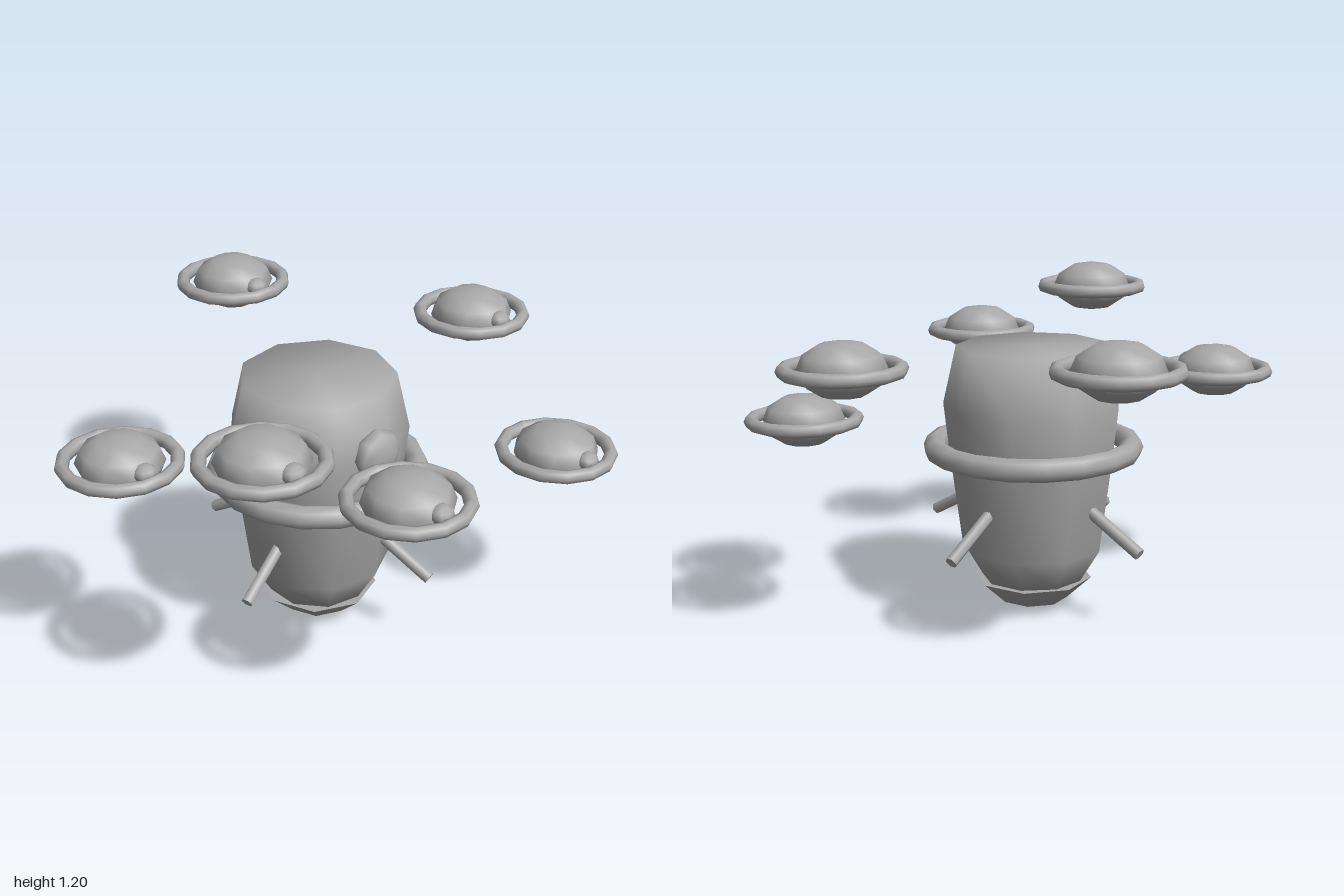
import * as THREE from 'three';

export function createModel() {
  const model = new THREE.Group();
  const grey = new THREE.MeshStandardMaterial({ color: 0xa8a8a8 });
  grey.name = 'plain grey';

  const add = (parent, name, geometry, x = 0, y = 0, z = 0) => {
    const mesh = new THREE.Mesh(geometry, grey);
    mesh.name = name;
    mesh.position.set(x, y, z);
    parent.add(mesh);
    return mesh;
  };
  const lathe = (points, sides) => new THREE.LatheGeometry(
    points.map(([r, y]) => new THREE.Vector2(r, y)), sides, Math.PI / 2);
  const ellipsoid = (rx, ry, rz, w, h) => new THREE.SphereGeometry(1, w, h).scale(rx, ry, rz);
  const hoop = (outer, tube, sides) =>
    new THREE.TorusGeometry(outer - tube, tube, 8, sides).rotateX(Math.PI / 2);

  // Main craft: nine-sided hull, belt ring, base cup and window
  const craft = new THREE.Group();
  craft.name = 'mainCraft';
  craft.position.set(-0.025, 0, 0.003);
  model.add(craft);
  add(craft, 'hull', lathe(
    [[0, 0.1], [0.19, 0.11], [0.268, 0.24], [0.315, 0.6], [0.335, 0.78], [0.285, 1], [0, 1]], 9));
  add(craft, 'beltRing', hoop(0.41, 0.043, 18), 0, 0.622, 0);
  add(craft, 'baseCup', lathe(
    [[0, 0.003], [0.13, 0.03], [0.222, 0.115]], 8));
  add(craft, 'baseCupLid', new THREE.CircleGeometry(0.222, 8).rotateX(-Math.PI / 2), 0, 0.115, 0);
  add(craft, 'frontWindow',
    ellipsoid(0.1, 0.055, 0.1, 8, 6).rotateX(Math.PI / 2), 0, 0.8, 0.31);

  // Four struts sloping outward and down
  const from = new THREE.Vector3(0.25, 0.42, 0);
  const to = new THREE.Vector3(0.48, 0.29, 0);
  const along = to.clone().sub(from);
  for (let i = 0; i < 4; i++) {
    const pivot = new THREE.Group();
    pivot.name = 'strutMount';
    pivot.rotation.y = 0.285 + i * Math.PI / 2;
    craft.add(pivot);
    const mid = from.clone().add(to).multiplyScalar(0.5);
    const strut = add(pivot, 'strut',
      new THREE.CylinderGeometry(0.023, 0.023, along.length(), 6), mid.x, mid.y, mid.z);
    strut.quaternion.setFromUnitVectors(new THREE.Vector3(0, 1, 0), along.clone().normalize());
  }

  // Small saucers hovering around the craft
  const pod = ellipsoid(0.157, 0.1, 0.157, 10, 6);
  const podRing = hoop(0.225, 0.025, 14);
  const podWindow = ellipsoid(0.043, 0.035, 0.04, 8, 6);
  const places = [
    [-0.69, 1.108, 0.495], [-0.77, 0.85, -0.172], [-0.31, 0.928, 0.752],
    [0.205, 1.055, -0.762], [0.768, 1.003, 0.007], [0.613, 0.697, 0.597],
  ];
  for (const [x, y, z] of places) {
    const saucer = new THREE.Group();
    saucer.name = 'saucer';
    saucer.position.set(x, y, z);
    model.add(saucer);
    add(saucer, 'saucerPod', pod);
    add(saucer, 'saucerRing', podRing);
    add(saucer, 'saucerWindow', podWindow, 0, 0.015, 0.145);
  }
  return model;
}
